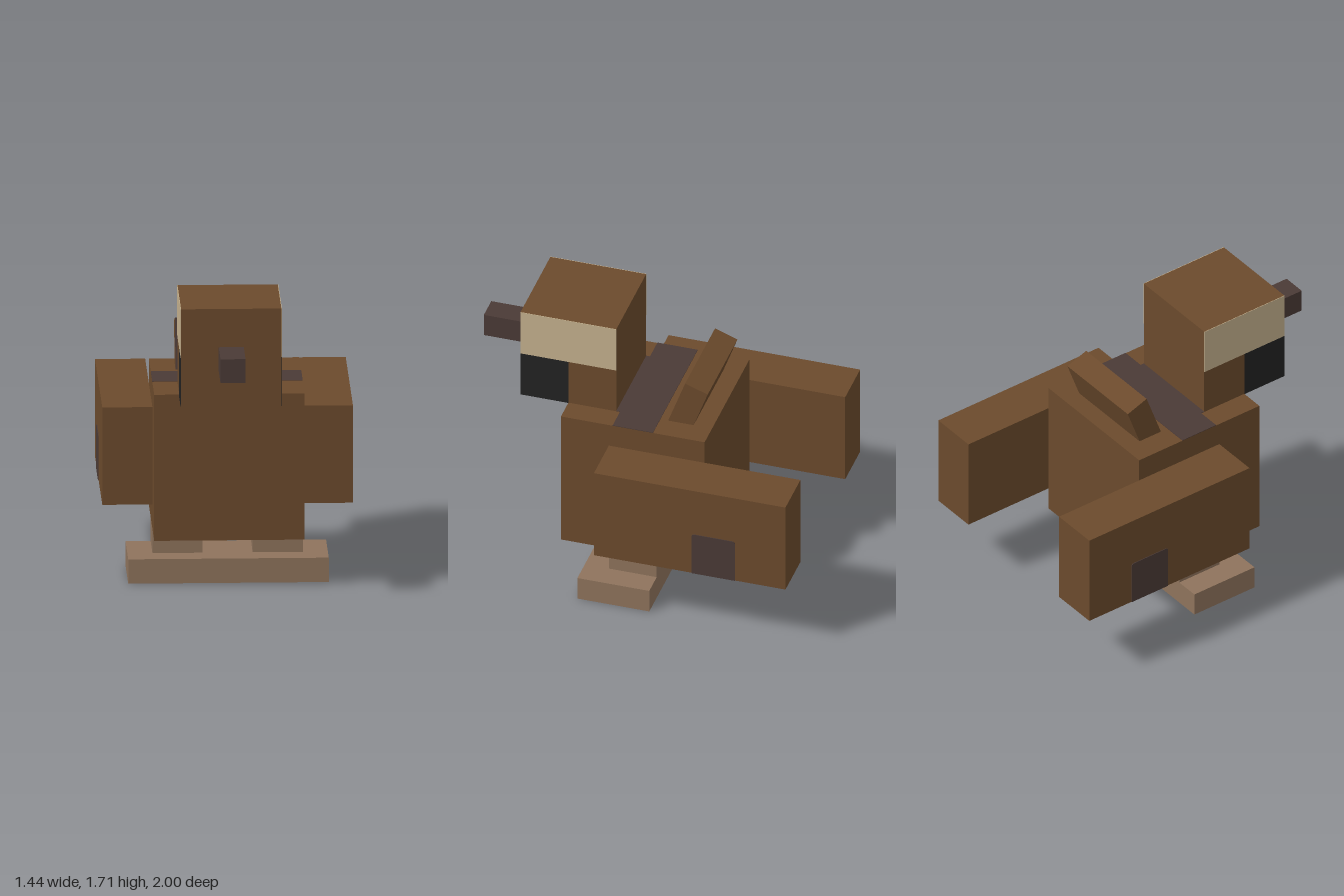
import * as THREE from 'three';

const U = 1 / 7; // block size

export function createModel() {
  const mat = (name, color) => {
    const m = new THREE.MeshStandardMaterial({ color });
    m.name = name;
    return m;
  };
  const brown = mat('brown', 0x6b4a2c);
  const dark = mat('dark grey brown', 0x4a3a36);
  const tan = mat('tan', 0xc4b08d);
  const black = mat('black', 0x222222);
  const foot = mat('light brown', 0x8e735c);

  const model = new THREE.Group();
  model.name = 'blockBird';

  // Box given by its lower and upper limits on each axis
  const box = (name, material, [x0, x1], [y0, y1], [z0, z1]) => {
    const mesh = new THREE.Mesh(new THREE.BoxGeometry(x1 - x0, y1 - y0, z1 - z0), material);
    mesh.position.set((x0 + x1) / 2, (y0 + y1) / 2, (z0 + z1) / 2);
    mesh.name = name;
    model.add(mesh);
    return mesh;
  };
  // Same, placed on the left (+1) or right (-1) side
  const sideBox = (name, material, s, [a, b], y, z) =>
    box(name, material, s > 0 ? [a, b] : [-b, -a], y, z);

  // Body, head and beak
  box('body', brown, [-3 * U, 3 * U], [2 * U, 8 * U], [-3 * U, 3 * U]);
  box('head', brown, [-2 * U, 2 * U], [8 * U, 12 * U], [U, 5 * U]);
  box('beak', dark, [-U / 2, U / 2], [1.35, 1.49], [5 * U, 1]);

  // Dark patch across the back, reaching the head
  const top = [8 * U, 8 * U + 0.003];
  box('backPatch', dark, [-3 * U, 3 * U], top, [-0.12, 0.12]);
  box('neckPatch', dark, [-2 * U, 2 * U], top, [0.12, U]);

  // Foot slab
  box('footSlab', foot, [-4 * U, 4 * U], [0, U], [-U, 2 * U]);

  // Rounded-top patch for the wing sides
  const w = 0.13, h = 0.27, r = 0.02;
  const patchShape = new THREE.Shape();
  patchShape.moveTo(-w, 0);
  patchShape.lineTo(w, 0);
  patchShape.lineTo(w, h - r);
  patchShape.quadraticCurveTo(w, h, w - r, h);
  patchShape.lineTo(-w + r, h);
  patchShape.quadraticCurveTo(-w, h, -w, h - r);
  const patchGeometry = new THREE.ExtrudeGeometry(patchShape, { depth: 0.004, bevelEnabled: false, curveSegments: 4 });

  for (const s of [1, -1]) {
    const side = s > 0 ? 'left' : 'right';
    sideBox(side + 'Leg', foot, s, [U, 3 * U], [U, 2 * U], [-U, U]);
    sideBox(side + 'Wing', brown, s, [3 * U, 5 * U], [3 * U, 7 * U], [-1, U]);

    // Face markings
    const plate = [2 * U, 2 * U + 0.003];
    sideBox(side + 'Brow', tan, s, plate, [10 * U, 12 * U], [U, 5 * U]);
    sideBox(side + 'Eye', black, s, plate, [8 * U, 10 * U], [3 * U, 5 * U]);

    // Wing patch
    const patch = new THREE.Mesh(patchGeometry, dark);
    patch.name = side + 'WingPatch';
    patch.rotation.y = s * Math.PI / 2;
    patch.position.set(s * 5 * U, 3 * U, -0.57);
    model.add(patch);
  }

  // Leaning flap with a dark front face
  const flap = new THREE.Mesh(
    new THREE.BoxGeometry(4 * U, 0.31, U),
    [brown, brown, brown, brown, dark, brown]
  );
  flap.name = 'backFlap';
  flap.position.set(0, 1.252, -0.282);
  flap.rotation.x = -Math.PI / 9;
  model.add(flap);

  return model;
}
